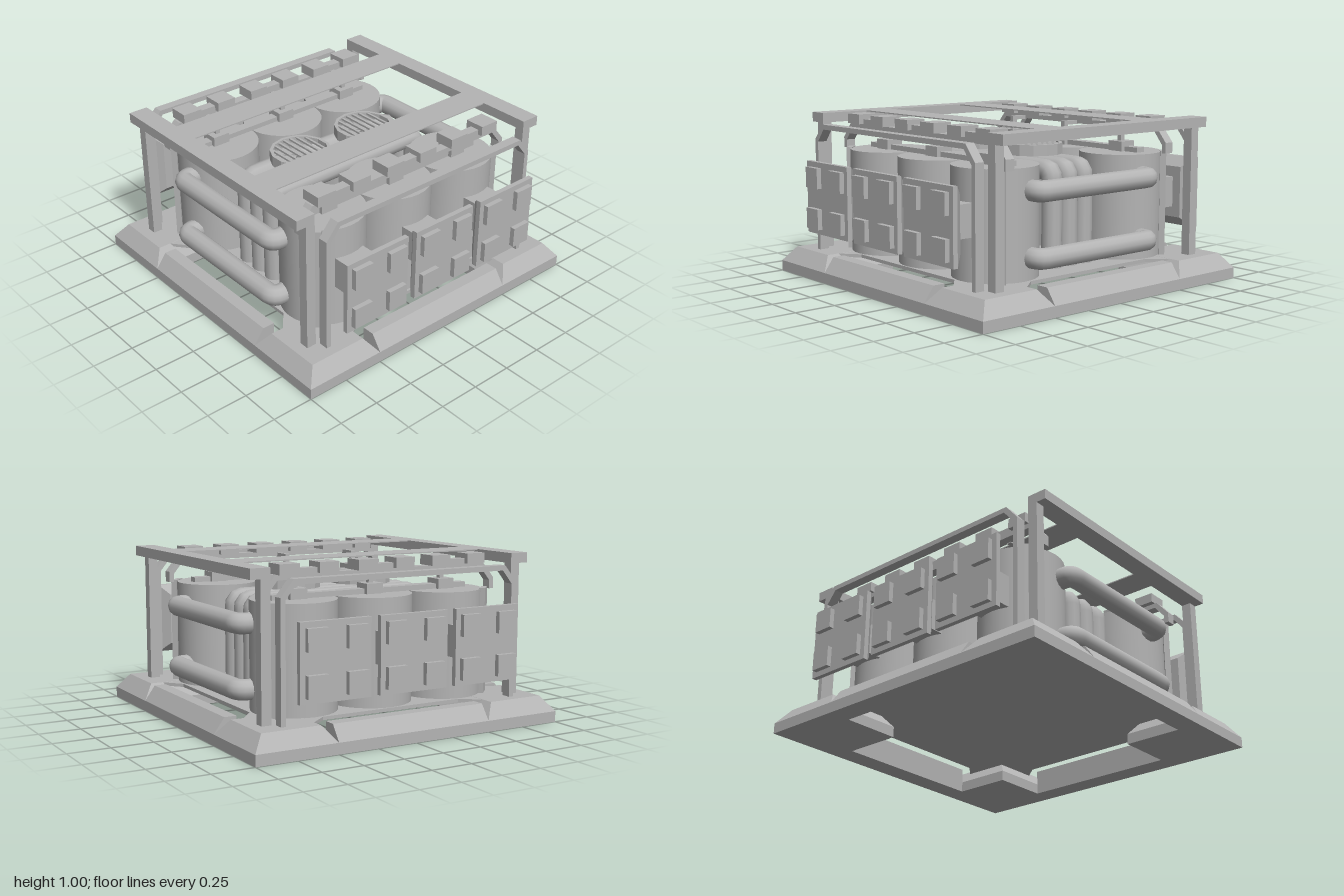
import * as THREE from 'three';

const steel = new THREE.MeshStandardMaterial({ color: 0xb4b4b4 });
steel.name = 'light grey steel';

function add(parent, name, geometry, x = 0, y = 0, z = 0) {
  const mesh = new THREE.Mesh(geometry, steel);
  mesh.name = name;
  mesh.position.set(x, y, z);
  parent.add(mesh);
  return mesh;
}

// box given by its lower and upper limits
function block(parent, name, x0, x1, y0, y1, z0, z1) {
  return add(parent, name, new THREE.BoxGeometry(x1 - x0, y1 - y0, z1 - z0),
    (x0 + x1) / 2, (y0 + y1) / 2, (z0 + z1) / 2);
}

function flat(geometry) {
  const g = geometry.index ? geometry.toNonIndexed() : geometry;
  g.computeVertexNormals();
  return g;
}

// square frustum, axis along y, standing on y = 0
function frustum(bottom, top, height) {
  const g = new THREE.CylinderGeometry(top / Math.SQRT2, bottom / Math.SQRT2, height, 4);
  return flat(g.rotateY(Math.PI / 4).translate(0, height / 2, 0));
}

function extrude(points, depth) {
  const shape = new THREE.Shape(points.map(([x, y]) => new THREE.Vector2(x, y)));
  return new THREE.ExtrudeGeometry(shape, { depth, bevelEnabled: false });
}

// pipe along points, with short rounded bends at the corners
function pipe(points, radius, bend) {
  const p = points.map((a) => new THREE.Vector3(...a));
  const path = new THREE.CurvePath();
  let start = p[0];
  for (let i = 1; i < p.length - 1; i++) {
    const a = p[i].clone().add(p[i - 1].clone().sub(p[i]).setLength(bend));
    const b = p[i].clone().add(p[i + 1].clone().sub(p[i]).setLength(bend));
    path.add(new THREE.LineCurve3(start, a));
    path.add(new THREE.QuadraticBezierCurve3(a, p[i], b));
    start = b;
  }
  path.add(new THREE.LineCurve3(start, p[p.length - 1]));
  return new THREE.TubeGeometry(path, 90, radius, 12);
}

// bent frame: two legs, chamfered shoulders and a top rail
function arch(foot) {
  const outer = [[0.78, foot], [0.78, 0.845], [0.7, 0.94]];
  const inner = [[0.75, foot], [0.75, 0.83], [0.685, 0.91]];
  const flip = (list) => list.map(([x, y]) => [-x, y]);
  return extrude([...outer, ...flip(outer).reverse(), ...flip(inner), ...inner.reverse()], 0.06);
}

function buildBase() {
  const base = new THREE.Group();
  base.name = 'base';
  const outline = [];
  const corner = [[0.76, 0.46], [0.86, 0.58], [0.86, 0.86], [0.58, 0.86], [0.46, 0.76]];
  for (let k = 0; k < 4; k++) {
    const c = [1, 0, -1, 0][k], s = [0, 1, 0, -1][k];
    corner.forEach(([x, y]) => outline.push([x * c - y * s, x * s + y * c]));

    // bevelled corner foot and side sill
    const quarter = new THREE.Group();
    quarter.name = 'baseQuarter';
    quarter.rotation.y = k * Math.PI / 2;
    block(quarter, 'cornerFoot', 0.5, 1, 0, 0.065, 0.5, 1);
    add(quarter, 'cornerBevel', frustum(0.5, 0.36, 0.09), 0.75, 0.065, 0.75);
    add(quarter, 'sideSill', extrude(
      [[0.86, 0], [1, 0], [1, 0.065], [0.935, 0.155], [0.86, 0.155]], 1), 0, 0, -0.5);
    base.add(quarter);
  }
  add(base, 'deck', extrude(outline, 0.02).rotateX(-Math.PI / 2), 0, 0.134, 0);
  return base;
}

// tanks, racks and panels of the front half
function buildHalf() {
  const half = new THREE.Group();
  half.name = 'tankBank';
  for (const x of [-0.5, 0, 0.5]) {
    add(half, 'tank', new THREE.CylinderGeometry(0.25, 0.25, 0.635, 32), x, 0.4675, 0.5);
    block(half, 'tankValve', x - 0.055, x + 0.055, 0.785, 0.845, 0.455, 0.565);
    block(half, 'valvePost', x - 0.015, x + 0.015, 0.845, 0.93, 0.49, 0.52);
    block(half, 'valveArm', x - 0.015, x + 0.015, 0.905, 0.93, 0.49, 0.61);

    // front panel with four raised pads
    block(half, 'panelBracket', x - 0.1, x + 0.1, 0.41, 0.6, 0.72, 0.89);
    const back = add(half, 'panelBack', frustum(0.44, 0.32, 0.065), x, 0.505, 0.94);
    back.rotation.x = -Math.PI / 2;
    block(half, 'panelPlate', x - 0.22, x + 0.22, 0.285, 0.725, 0.94, 0.97);
    for (const dx of [-0.125, 0.125]) {
      for (const y of [0.38, 0.63]) {
        block(half, 'panelPad', x + dx - 0.0625, x + dx + 0.0625, y - 0.0625, y + 0.0625, 0.97, 1);
      }
      block(half, 'rackBlock', x + dx - 0.0625, x + dx + 0.0625, 0.94, 1, 0.565, 0.69);
    }
    block(half, 'rackLink', x - 0.0625, x + 0.0625, 0.94, 0.97, 0.6, 0.66);
  }
  add(half, 'frontArch', arch(0.153), 0, 0, 0.81);
  add(half, 'innerArch', arch(0.78), 0, 0, 0.6);
  block(half, 'valveRail', -0.66, 0.66, 0.785, 0.815, 0.48, 0.54);
  for (const s of [-1, 1]) {
    const post = block(half, 'slantedPost', -0.05, 0.05, 0.154, 0.79, -0.018, 0.018);
    post.position.x = s * 0.705;
    post.position.z = 0.66;
    post.rotation.y = s * Math.PI / 4;
    block(half, 'cornerColumn', s * 0.83 - 0.03, s * 0.83 + 0.03, 0.154, 0.94, 0.74, 0.8);
  }
  block(half, 'roofPlank', -0.85, 0.85, 0.993, 1, 0.285, 0.475);
  return half;
}

function buildFan(x) {
  const fan = new THREE.Group();
  fan.name = 'fan';
  fan.position.set(x, 0.785, 0);
  const ring = [[0.165, 0], [0.185, 0], [0.185, 0.065], [0.165, 0.065], [0.165, 0]];
  add(fan, 'fanRing', flat(new THREE.LatheGeometry(
    ring.map(([r, y]) => new THREE.Vector2(r, y)), 14)));
  add(fan, 'fanFloor', new THREE.CylinderGeometry(0.175, 0.175, 0.01, 14), 0, 0.005, 0);
  add(fan, 'fanHub', new THREE.CylinderGeometry(0.03, 0.03, 0.035, 10), 0, 0.025, 0);
  for (let i = 0; i < 5; i++) {
    const pivot = new THREE.Group();
    pivot.name = 'fanBladePivot';
    pivot.rotation.y = i * Math.PI * 0.4;
    add(pivot, 'fanBlade', new THREE.BoxGeometry(0.13, 0.006, 0.08), 0.09, 0.027, 0).rotation.x = 0.4;
    fan.add(pivot);
  }
  for (let i = -3; i <= 3; i++) {
    const bx = i * 0.042;
    const length = 2 * Math.sqrt(0.168 ** 2 - bx ** 2);
    add(fan, 'grilleBar', new THREE.BoxGeometry(0.014, 0.012, length), bx, 0.056, 0);
  }
  return fan;
}

export function createModel() {
  const model = new THREE.Group();
  model.name = 'powerUnit';
  model.add(buildBase());

  const front = buildHalf();
  const back = buildHalf();
  back.rotation.y = Math.PI;
  model.add(front, back);

  // roof beams and side pipes
  for (const s of [-1, 1]) {
    block(model, 'roofBeam', s * 0.86 - 0.06, s * 0.86 + 0.06, 0.94, 1, -0.8, 0.8);
    for (const y of [0.28, 0.655]) {
      add(model, 'sidePipe', pipe([[s * 0.6, y, -0.44], [s * 0.81, y, -0.44],
        [s * 0.81, y, 0.44], [s * 0.6, y, 0.44]], 0.061, 0.05));
    }
    model.add(buildFan(s * 0.25));
  }

  // centre pipes arching beneath the fans
  for (const z of [-0.122, 0, 0.122]) {
    add(model, 'centrePipe', pipe([[-0.56, 0.15, z], [-0.56, 0.72, z],
      [0.56, 0.72, z], [0.56, 0.15, z]], 0.061, 0.05));
  }
  return model;
}
